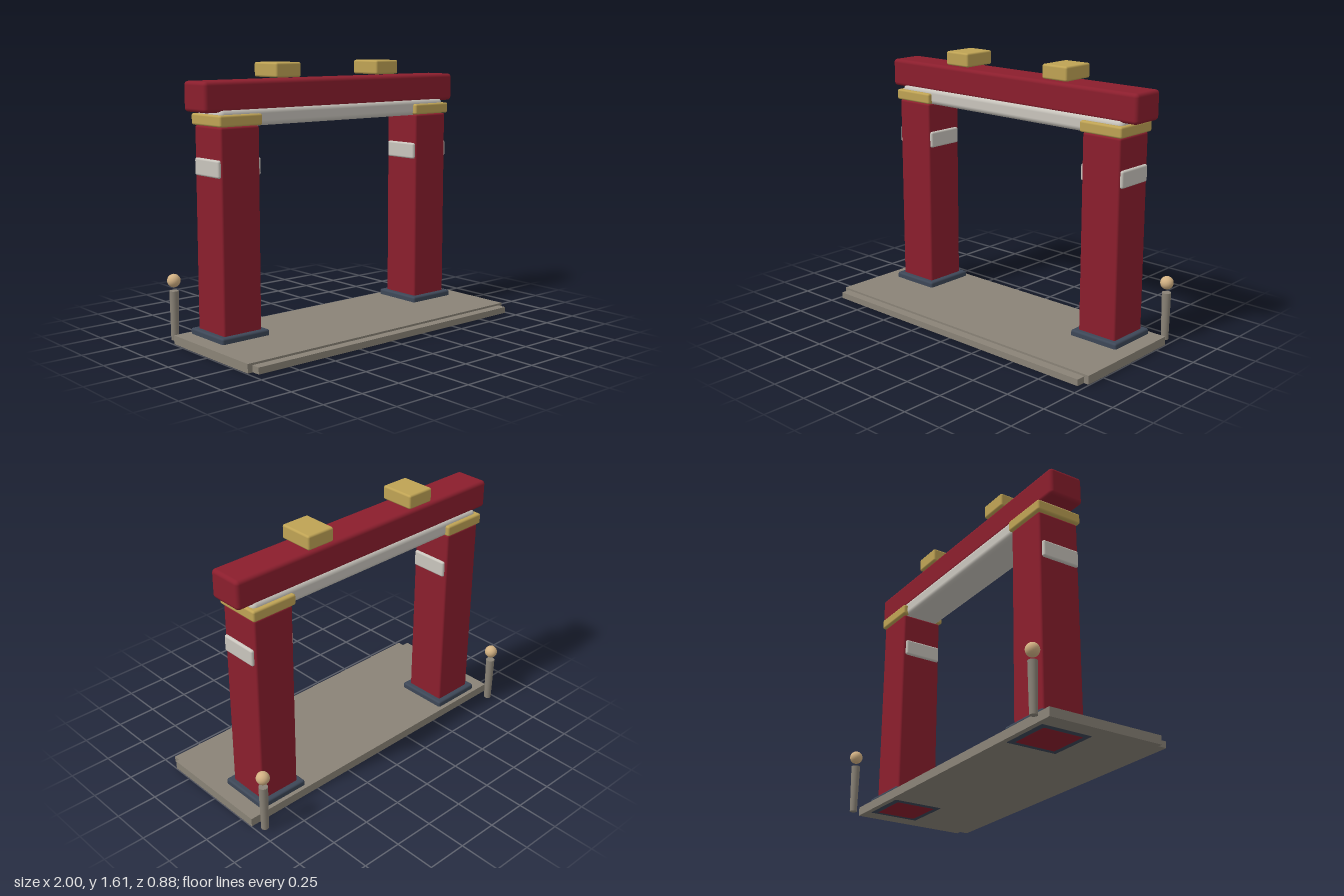
import * as THREE from 'three';
import { RoundedBoxGeometry } from 'three/addons/geometries/RoundedBoxGeometry.js';

const material = (color) => new THREE.MeshStandardMaterial({ color });

export function createModel() {
  const model = new THREE.Group();
  const red = material(0x8b1e2d);
  const gold = material(0xbfa354);
  const white = material(0xc9c5bd);
  const slate = material(0x3d4757);
  const stone = material(0x8a8377);
  const tan = material(0xd2b183);

  const add = (name, geometry, mat, x, y, z, parent = model) => {
    const mesh = new THREE.Mesh(geometry, mat);
    mesh.name = name;
    mesh.position.set(x, y, z);
    parent.add(mesh);
    return mesh;
  };
  // Soft-edged box given by its size, bottom height and centre
  const block = (name, mat, [w, h, d], radius, x, bottom, z, parent) =>
    add(name, new RoundedBoxGeometry(w, h, d, 3, radius), mat, x, bottom + h / 2, z, parent);

  const gateZ = -0.152;

  // Stone platform with a lower front step
  add('platform', new THREE.BoxGeometry(2, 0.052, 0.72), stone, 0, 0.03, 0.02);
  add('frontStep', new THREE.BoxGeometry(1.94, 0.038, 0.08), stone, 0, 0.025, 0.396);

  for (const side of [-1, 1]) {
    // Pillar with footing, capital and a pale band on each side face
    const pillar = new THREE.Group();
    pillar.name = side > 0 ? 'leftPillar' : 'rightPillar';
    pillar.position.set(side * 0.74, 0, gateZ);
    model.add(pillar);
    block('pillarFooting', slate, [0.325, 0.088, 0.325], 0.012, 0, 0.002, 0, pillar);
    block('pillarShaft', red, [0.26, 1.26, 0.26], 0.012, 0, 0, 0, pillar);
    block('pillarCapital', gold, [0.288, 0.065, 0.288], 0.012, 0, 1.262, 0, pillar);
    for (const face of [-1, 1]) {
      block('pillarBand', white, [0.03, 0.1, 0.236], 0.012, face * 0.131, 0.98, 0.004, pillar);
    }

    // Gold block above the beam
    block('roofBlock', gold, [0.18, 0.085, 0.215], 0.012, side * 0.382, 1.52, gateZ);

    // Tapered marker post with a ball on top
    const post = new THREE.Group();
    post.name = side > 0 ? 'leftPost' : 'rightPost';
    post.position.set(side * 0.955, 0, -0.402);
    model.add(post);
    add('postShaft', new THREE.CylinderGeometry(0.027, 0.022, 0.29, 20), stone, 0, 0.155, 0, post);
    add('postBall', new THREE.SphereGeometry(0.039, 24, 16), tan, 0, 0.36, 0, post);
  }

  // Pale lintel under the large red beam
  block('lintel', white, [1.73, 0.1, 0.236], 0.03, 0, 1.256, gateZ);
  block('topBeam', red, [1.91, 0.17, 0.216], 0.022, 0, 1.34, gateZ);

  return model;
}
